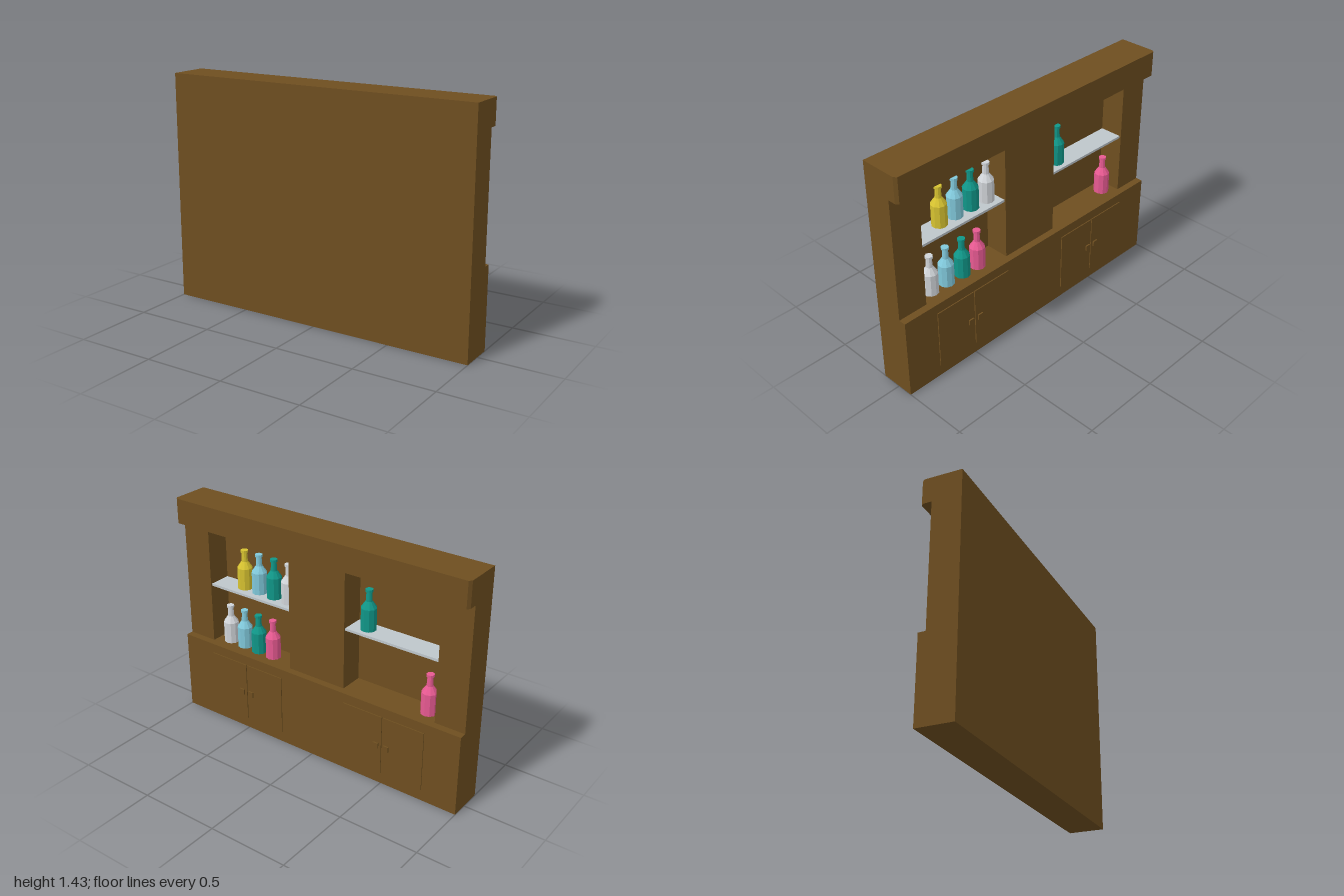
import * as THREE from 'three';

const mat = (name, color, extra = {}) => {
  const m = new THREE.MeshStandardMaterial({ color, ...extra });
  m.name = name;
  return m;
};

export function createModel() {
  const root = new THREE.Group();
  root.name = 'barShelf';
  const wood = mat('wood', 0x6e4e20);
  const glass = mat('shelfGrey', 0xbec6cb);
  const colours = {
    white: mat('whiteGlass', 0xd0d4d8, { flatShading: true }),
    yellow: mat('yellowGlass', 0xd6c230, { flatShading: true }),
    blue: mat('paleBlueGlass', 0x80c8da, { flatShading: true }),
    teal: mat('tealGlass', 0x109688, { flatShading: true }),
    pink: mat('pinkGlass', 0xe85a92, { flatShading: true }),
  };

  const add = (name, geometry, material) => {
    const mesh = new THREE.Mesh(geometry, material);
    mesh.name = name;
    root.add(mesh);
    return mesh;
  };
  // Box given by its minimum and maximum on each axis
  const box = (name, material, x0, x1, y0, y1, z0, z1) =>
    add(name, new THREE.BoxGeometry(x1 - x0, y1 - y0, z1 - z0), material)
      .position.set((x0 + x1) / 2, (y0 + y1) / 2, (z0 + z1) / 2);

  const back = 0.124, wall = 0.096, pier = -0.055, base = -0.1;
  const counterY = 0.51, corniceY = 1.275, topY = 1.43;

  // Cabinet body: base, rear panel and three piers around two niches
  box('baseCabinet', wood, -1, 1, 0, counterY, base, back);
  box('rearPanel', wood, -1, 1, counterY, corniceY, wall, back);
  box('centrePier', wood, -0.197, 0.197, counterY, corniceY, pier, wall);

  // Cornice with chamfered upright corners
  const outline = new THREE.Shape([
    [-1, -back], [1, -back], [1, 0.104], [0.986, 0.122], [-0.986, 0.122], [-1, 0.104],
  ].map(([x, y]) => new THREE.Vector2(x, y)));
  const cornice = new THREE.ExtrudeGeometry(outline, { depth: topY - corniceY, bevelEnabled: false });
  cornice.rotateX(-Math.PI / 2);
  add('cornice', cornice, wood).position.y = corniceY;

  for (const s of [-1, 1]) {
    const span = (name, material, a, b, ...rest) =>
      box(name, material, Math.min(s * a, s * b), Math.max(s * a, s * b), ...rest);
    span('sidePier', wood, 0.81, 1, counterY, corniceY, pier, wall);
    span('shelf', glass, 0.197, 0.81, 0.882, 0.897, -0.045, wall);

    // Pair of doors, each with a knob beside the gap
    const mid = 0.502;
    for (const d of [-1, 1]) {
      span('door', wood, mid + d * 0.003, mid + d * 0.273, 0.07, 0.45, -0.106, base);
      span('knobStem', wood, mid + d * 0.028, mid + d * 0.042, 0.25, 0.266, -0.11, -0.106);
      span('knob', wood, mid + d * 0.018, mid + d * 0.052, 0.24, 0.275, -0.118, -0.109);
    }
  }

  // Bottles: body, shoulder, neck and lip in one turned profile
  const profile = [
    [0, 0], [0.047, 0], [0.047, 0.135], [0.02, 0.175], [0.017, 0.23],
    [0.023, 0.232], [0.023, 0.247], [0, 0.247],
  ].map(([r, y]) => new THREE.Vector2(r, y));
  const bottle = new THREE.LatheGeometry(profile, 10);
  const shelfY = 0.897;
  const bottles = [
    ['yellow', 0.608, shelfY, 0.036], ['blue', 0.495, shelfY, 0.036],
    ['teal', 0.379, shelfY, 0.034], ['white', 0.265, shelfY, 0.03],
    ['white', 0.718, counterY, 0.012], ['blue', 0.603, counterY, 0.01],
    ['teal', 0.487, counterY, 0.005], ['pink', 0.372, counterY, 0.002],
    ['teal', -0.306, shelfY, 0.027], ['pink', -0.728, counterY, 0.015],
  ];
  for (const [c, x, y, z] of bottles) add(c + 'Bottle', bottle, colours[c]).position.set(x, y, z);

  return root;
}
